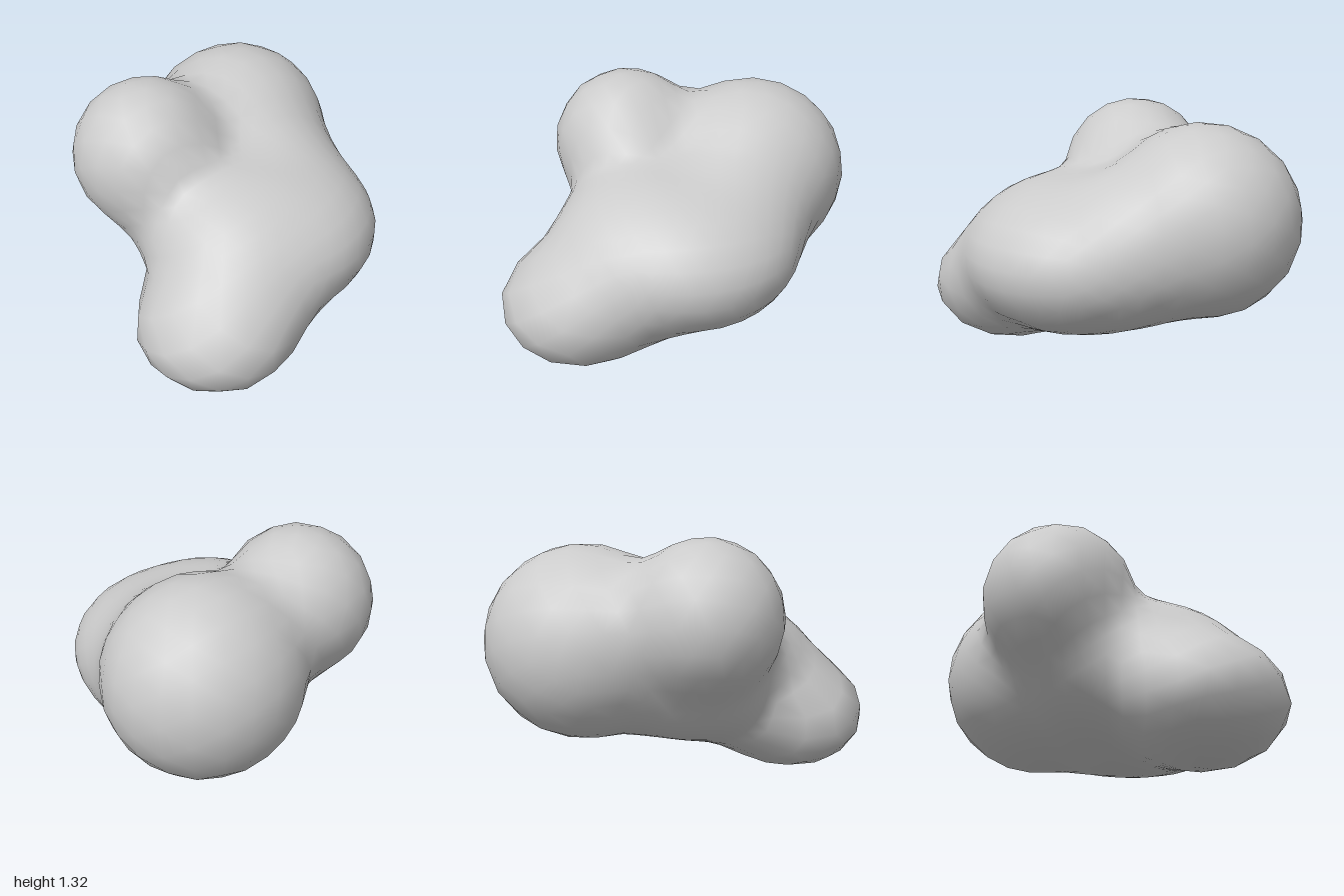
import * as THREE from 'three';
import { mergeVertices } from 'three/addons/utils/BufferGeometryUtils.js';

// Lobes of the blob: centre and radii
const lobes = [
  { c: [-0.40, 0.93, 0.18], r: [0.40, 0.40, 0.40] },  // upper right knob
  { c: [-0.21, 0.76, -0.47], r: [0.51, 0.51, 0.53] }, // back bulge
  { c: [0.21, 0.31, 0.62], r: [0.41, 0.30, 0.38] },   // low front nose
  { c: [0.25, 0.42, 0.41], r: [0.36, 0.33, 0.38] },   // neck of the nose
  { c: [0.24, 0.56, 0.02], r: [0.56, 0.39, 0.59] },   // left side
  { c: [-0.15, 0.60, 0.08], r: [0.36, 0.34, 0.41] },  // core
  { c: [0.12, 0.60, 0.23], r: [0.38, 0.33, 0.42] },   // bridge to the nose
  { c: [0.10, 0.63, -0.25], r: [0.37, 0.36, 0.38] },  // bridge to the back
].map(({ c, r }) => ({ c: new THREE.Vector3(...c), r: new THREE.Vector3(...r) }));

const BLEND = 0.18;
const q = new THREE.Vector3();

// Approximate signed distance to one ellipsoid
function lobeDistance(p, { c, r }) {
  const k0 = q.subVectors(p, c).divide(r).length();
  const k1 = q.divide(r).length();
  return k1 < 1e-6 ? -r.y : k0 * (k0 - 1) / k1;
}

// Smooth union of all lobes
function blobDistance(p) {
  let d = Infinity;
  for (const lobe of lobes) {
    const e = lobeDistance(p, lobe);
    const h = Math.max(BLEND - Math.abs(d - e), 0) / BLEND;
    d = Math.min(d, e) - h * h * BLEND / 4;
  }
  return d;
}

// Shrink a sphere onto the blended surface, walking inwards along each ray
function blobGeometry() {
  const sphere = new THREE.IcosahedronGeometry(1, 7);
  sphere.deleteAttribute('uv');
  sphere.deleteAttribute('normal');
  const geometry = mergeVertices(sphere, 1e-4);
  const pos = geometry.attributes.position;
  const centre = new THREE.Vector3(0, 0.6, 0.02);
  const dir = new THREE.Vector3();
  const p = new THREE.Vector3();
  for (let i = 0; i < pos.count; i++) {
    dir.fromBufferAttribute(pos, i).normalize();
    let t = 1.5;
    for (let step = 0; step < 80; step++) {
      const d = blobDistance(p.copy(centre).addScaledVector(dir, t));
      if (Math.abs(d) < 1e-4) break;
      t -= d * 0.7;
    }
    p.copy(centre).addScaledVector(dir, t);
    pos.setXYZ(i, p.x, Math.max(p.y, 0), p.z);
  }
  geometry.computeVertexNormals();
  return geometry;
}

export function createModel() {
  const group = new THREE.Group();
  const blob = new THREE.Mesh(blobGeometry(), new THREE.MeshStandardMaterial({ color: 0xcccccc }));
  blob.name = 'blob';
  group.add(blob);
  return group;
}
